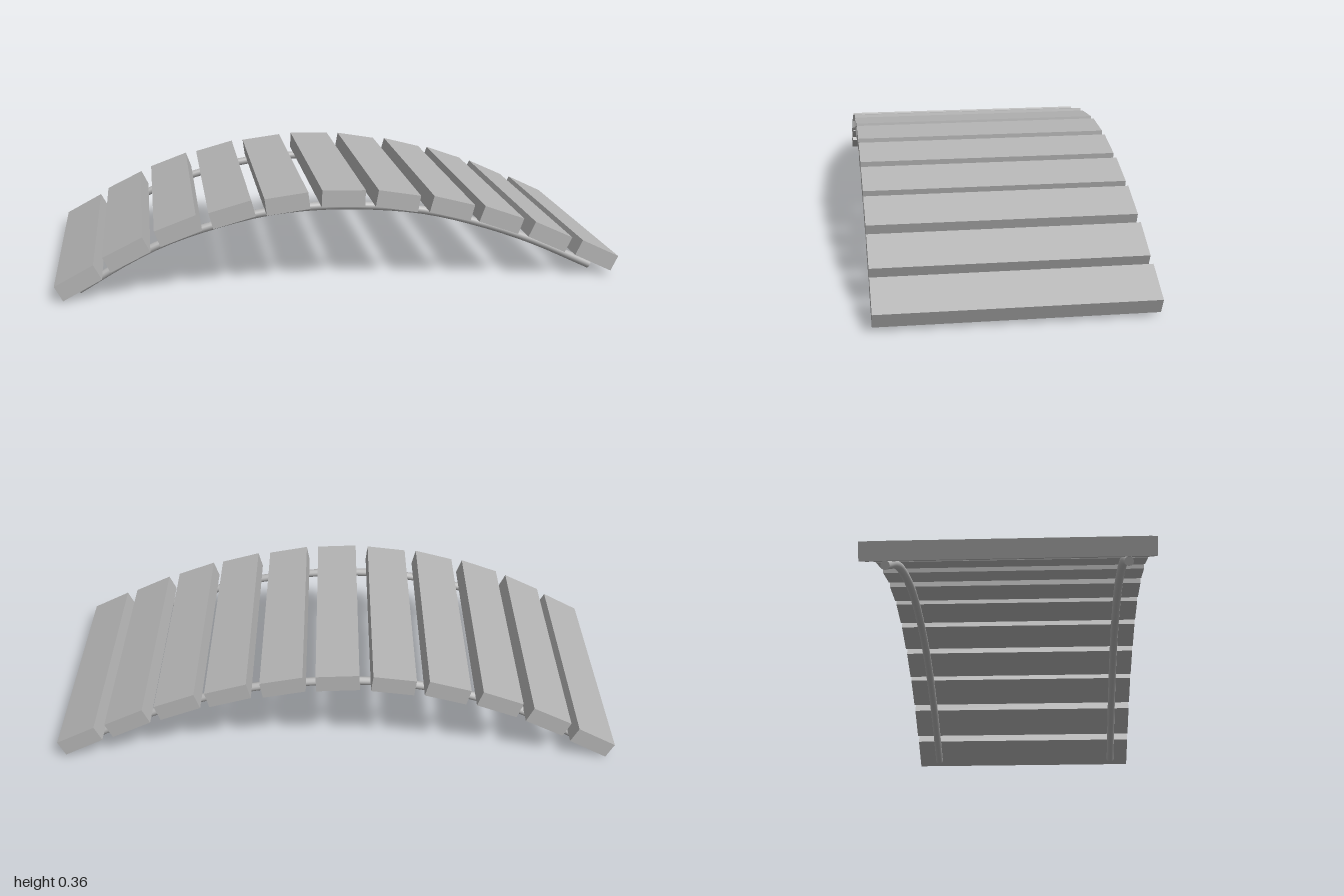
import * as THREE from 'three';

// plank centres and tilts along the arch: x, y, degrees
const PLANKS = [
  [-0.918, 0.067, 28], [-0.752, 0.16, 26], [-0.575, 0.237, 20], [-0.39, 0.287, 15],
  [-0.2, 0.317, 7], [-0.005, 0.328, -2], [0.187, 0.311, -10], [0.38, 0.276, -15],
  [0.56, 0.226, -20], [0.741, 0.155, -25], [0.918, 0.077, -26],
];

// centre line of the rails under the planks: x, y
const RAIL = [
  [-0.92, 0.016], [-0.75, 0.114], [-0.607, 0.18], [-0.4, 0.242], [-0.24, 0.273], [-0.02, 0.284],
  [0.275, 0.258], [0.49, 0.203], [0.7, 0.126], [0.92, 0.022],
];
const RAIL_RADIUS = 0.015;

export function createModel() {
  const group = new THREE.Group();
  group.name = 'archedBridge';
  const grey = new THREE.MeshStandardMaterial({ color: 0xb4b4b4 });
  grey.name = 'grey';

  // planks, each turned very slightly out of square
  const plankGeometry = new THREE.BoxGeometry(0.152, 0.06, 0.918);
  PLANKS.forEach(([x, y, tilt], i) => {
    const t = i / (PLANKS.length - 1);
    const plank = new THREE.Mesh(plankGeometry, grey);
    plank.name = 'plank' + (i + 1);
    plank.position.set(x, y, 0.003 - 0.011 * t);
    plank.rotation.set(-0.003, 0.002 + 0.008 * t, THREE.MathUtils.degToRad(tilt), 'YXZ');
    group.add(plank);
  });

  // two round rails with closed ends
  const curve = new THREE.CatmullRomCurve3(RAIL.map(([x, y]) => new THREE.Vector3(x, y, 0)));
  const railGeometry = new THREE.TubeGeometry(curve, 32, RAIL_RADIUS, 12);
  const capGeometry = new THREE.CircleGeometry(RAIL_RADIUS, 12);
  for (const [name, z] of [['frontRail', 0.377], ['backRail', -0.381]]) {
    const rail = new THREE.Group();
    rail.name = name;
    rail.position.z = z;
    const tube = new THREE.Mesh(railGeometry, grey);
    tube.name = name + 'Tube';
    rail.add(tube);
    for (const end of [0, 1]) {
      const cap = new THREE.Mesh(capGeometry, grey);
      cap.name = name + 'Cap';
      const outward = curve.getTangentAt(end).multiplyScalar(end ? 1 : -1);
      cap.position.copy(curve.getPointAt(end));
      cap.quaternion.setFromUnitVectors(new THREE.Vector3(0, 0, 1), outward);
      rail.add(cap);
    }
    group.add(rail);
  }
  return group;
}
